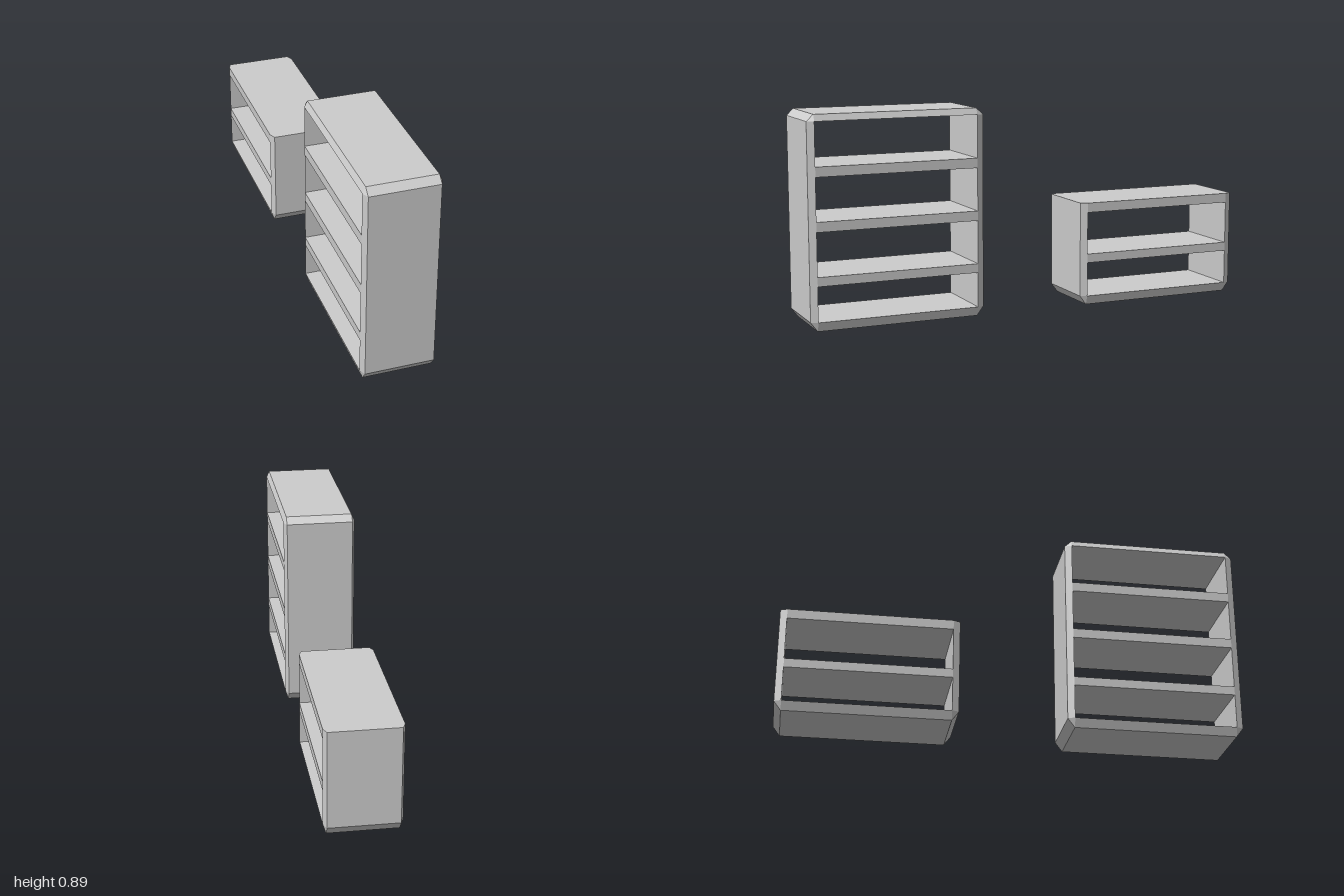
import * as THREE from 'three';

const OUT_X = 0.147, IN_X = 0.16;      // half depth at the outer skin / at the openings
const WALL = 0.03, FLOOR = 0.04;       // side panel and bottom panel thickness
const TOP = 0.895, TOP_IN = 0.867;     // top panel of the tall unit

const material = new THREE.MeshStandardMaterial({ color: 0xcccccc, flatShading: true });

// Sweeps a bevelled four-cornered section through stations [outerZ, outerY, innerZ, innerY].
function sweepFrame(stations, closed) {
  const sections = stations.map(([oz, oy, iz, iy]) => [
    new THREE.Vector3(-OUT_X, oy, oz), new THREE.Vector3(OUT_X, oy, oz),
    new THREE.Vector3(IN_X, iy, iz), new THREE.Vector3(-IN_X, iy, iz),
  ]);
  const points = [];
  const tri = (...p) => {
    if (new THREE.Triangle(...p).getArea() > 1e-7) points.push(...p);
  };
  const quad = (a, b, c, d) => { tri(a, b, c); tri(a, c, d); };
  const n = sections.length;
  for (let i = 0; i < (closed ? n : n - 1); i++) {
    const s = sections[i], t = sections[(i + 1) % n];
    for (let k = 0; k < 4; k++) {
      const m = (k + 1) % 4;
      quad(s[k], t[k], t[m], s[m]);
    }
  }
  if (!closed) {
    quad(...sections[0]);
    quad(...sections[n - 1].slice().reverse());
  }
  const geometry = new THREE.BufferGeometry().setFromPoints(points);
  geometry.computeVertexNormals();
  return geometry;
}

// One shelving unit between z0 and z1; shelves are [bottom, top] heights.
function shelfUnit(name, z0, z1, shelves, closedTop) {
  const unit = new THREE.Group();
  unit.name = name;
  const a = z1 - WALL, b = z0 + WALL;
  const sideTop = closedTop ? TOP_IN : shelves[shelves.length - 1][1];
  const stations = [
    [z1, sideTop, a, sideTop], [z1, FLOOR, a, FLOOR], [a, 0, a, FLOOR],
    [b, 0, b, FLOOR], [z0, FLOOR, b, FLOOR], [z0, sideTop, b, sideTop],
  ];
  if (closedTop) stations.push([b, TOP, b, TOP_IN], [a, TOP, a, TOP_IN]);

  const frame = new THREE.Mesh(sweepFrame(stations, closedTop), material);
  frame.name = 'frame';
  unit.add(frame);

  shelves.forEach(([low, high], i) => {
    const shelf = new THREE.Mesh(new THREE.BoxGeometry(2 * IN_X, high - low, a - b), material);
    shelf.name = 'shelf' + (i + 1);
    shelf.position.set(0, (low + high) / 2, (a + b) / 2);
    unit.add(shelf);
  });
  return unit;
}

export function createModel() {
  const model = new THREE.Group();
  model.name = 'shelvingUnits';
  const shelves = [[0.19, 0.229], [0.415, 0.457], [0.641, 0.683]];
  model.add(shelfUnit('tallShelf', 0.232, 1, shelves, true));
  // the low unit ends flush with its second shelf
  model.add(shelfUnit('lowShelf', -1, -0.232, shelves.slice(0, 2), false));
  return model;
}
